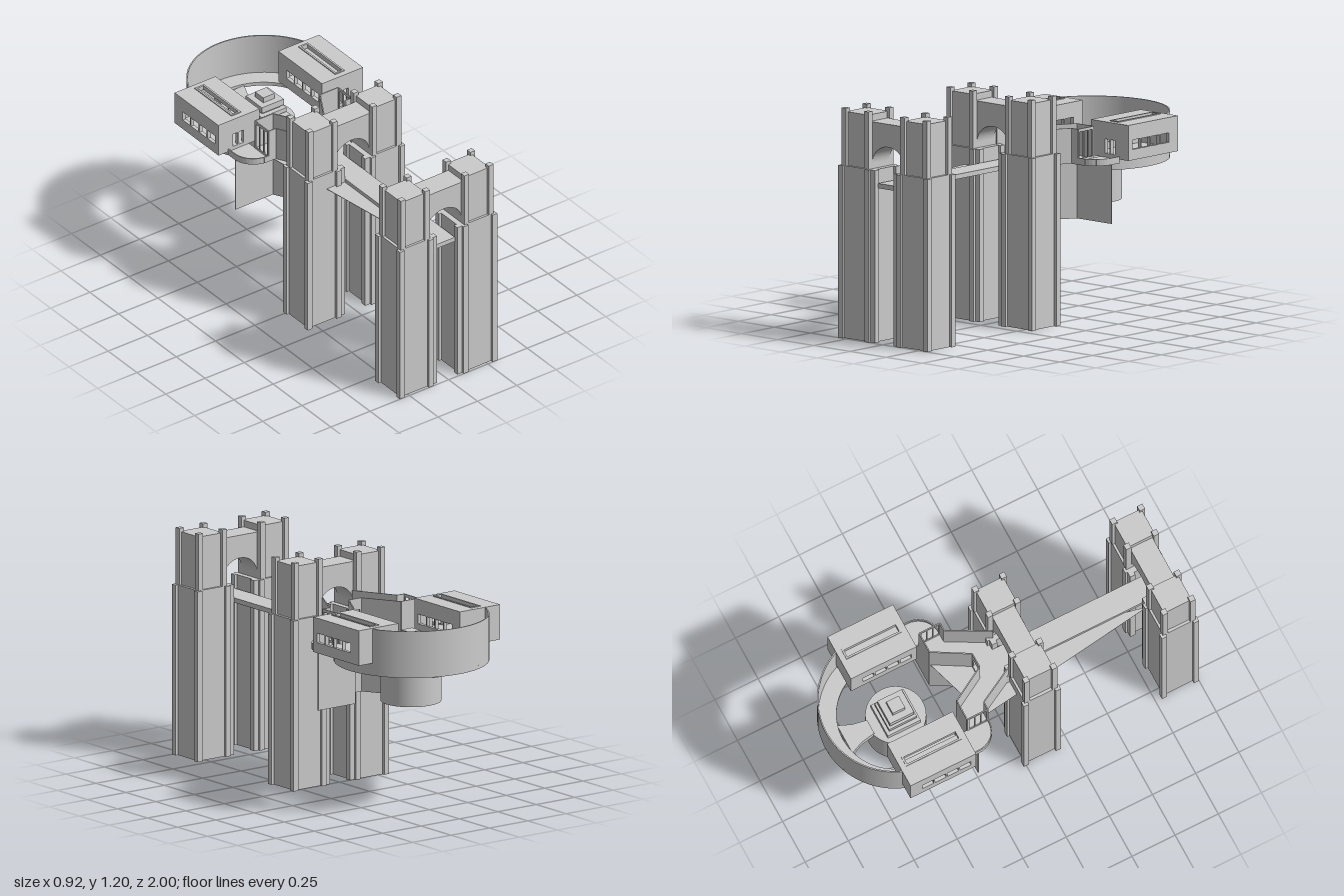
import * as THREE from 'three';

export function createModel() {
  const model = new THREE.Group();
  const mat = new THREE.MeshStandardMaterial({ color: 0xcccccc, side: THREE.DoubleSide });

  const add = (name, geo, parent = model) => {
    const m = new THREE.Mesh(geo, mat);
    m.name = name;
    parent.add(m);
    return m;
  };
  const group = (name) => {
    const g = new THREE.Group();
    g.name = name;
    model.add(g);
    return g;
  };
  // box from opposite corners
  const box = (name, x0, x1, y0, y1, z0, z1, parent) => add(name,
    new THREE.BoxGeometry(Math.abs(x1 - x0), y1 - y0, Math.abs(z1 - z0))
      .translate((x0 + x1) / 2, (y0 + y1) / 2, (z0 + z1) / 2), parent);
  // horizontal slab from a list of [x, z] points
  const slab = (name, pts, y0, y1, parent) => {
    const shape = new THREE.Shape(pts.map(([x, z]) => new THREE.Vector2(x, -z)));
    return add(name, new THREE.ExtrudeGeometry(shape, { depth: y1 - y0, bevelEnabled: false })
      .rotateX(-Math.PI / 2).translate(0, y0, 0), parent);
  };
  const rect = (u0, u1, v0, v1) => [[u0, v0], [u1, v0], [u1, v1], [u0, v1]]
    .map(([u, v]) => new THREE.Vector2(u, v));
  // upright wall between two [x, z] points, holes given as [u0, u1, y0, y1]
  const wall = (name, p, q, y0, y1, holes = [], t = 0.006, parent = model) => {
    const dx = q[0] - p[0], dz = q[1] - p[1];
    const shape = new THREE.Shape(rect(0, Math.hypot(dx, dz), y0, y1));
    holes.forEach((h) => shape.holes.push(new THREE.Path(rect(...h))));
    const geo = new THREE.ExtrudeGeometry(shape, { depth: t, bevelEnabled: false })
      .translate(0, 0, -t / 2).rotateY(Math.atan2(-dz, dx)).translate(p[0], 0, p[1]);
    return add(name, geo, parent);
  };
  const arc = (r, a0, a1, n = 32) => Array.from({ length: n + 1 }, (_, i) => {
    const a = a0 + (a1 - a0) * i / n;
    return [r * Math.sin(a), -0.6 + r * Math.cos(a)];
  });

  // two gates, each a pair of towers joined by an arched wall
  for (const zc of [0.0925, 0.8925]) {
    const gate = group('gate');
    for (const s of [-1, 1]) {
      box('towerShaft', s * 0.08, s * 0.295, 0, 0.9, zc - 0.0925, zc + 0.0925, gate);
      box('towerTop', s * 0.125, s * 0.28, 0.9, 1.18, zc - 0.08, zc + 0.08, gate);
      for (const e of [-1, 1]) {
        for (const x of [0.295, 0.11]) {
          const z = zc + e * 0.0925;
          box('shaftPilaster', s * (x - 0.015), s * (x + 0.015), 0, 0.9, z - 0.015, z + 0.015, gate);
        }
        for (const x of [0.28, 0.125]) {
          const z = zc + e * 0.08;
          box('topPilaster', s * (x - 0.015), s * (x + 0.015), 0.9, 1.2, z - 0.015, z + 0.015, gate);
        }
        const zi = zc + e * 0.08;
        box('innerPilaster', s * 0.065, s * 0.095, 0, 0.9, zi - 0.015, zi + 0.015, gate);
      }
    }
    const arch = new THREE.Shape();
    arch.moveTo(-0.125, 0.83);
    arch.lineTo(-0.125, 1.145);
    arch.lineTo(0.125, 1.145);
    arch.lineTo(0.125, 0.83);
    arch.lineTo(0.11, 0.83);
    arch.lineTo(0.11, 0.93);
    arch.absellipse(0, 0.93, 0.11, 0.095, 0, Math.PI, false);
    arch.lineTo(-0.11, 0.83);
    add('archWall', new THREE.ExtrudeGeometry(arch, { depth: 0.13, bevelEnabled: false, curveSegments: 24 })
      .translate(0, 0, zc - 0.065), gate);
  }

  // bridge deck and the plate below it
  box('bridgeDeck', -0.065, 0.065, 0.805, 0.83, 0, 0.965);
  slab('deckPlate', [[-0.23, -0.2], [0.15, -0.32], [-0.09, 0.82]], 0.806, 0.809);

  // forked corridor: floor, outer walls, inner walls with a doorway
  const right = [[0.1, 0.02], [0.22, -0.2], [0.265, -0.2], [0.265, -0.32], [0.15, -0.32], [0.04, -0.13]];
  const flip = (pts) => pts.map(([x, z]) => [-x, z]);
  slab('forkFloor', [...right, ...flip(right).reverse()], 0.81, 0.83);
  for (const s of [-1, 1]) {
    const p = right.map(([x, z]) => [s * x, z]);
    wall('corridorWall', p[0], p[1], 0.81, 0.995);
    wall('corridorWall', p[1], p[2], 0.81, 0.995);
    wall('corridorEnd', p[2], p[3], 0.81, 0.995,
      [0.01, 0.045, 0.08].map((u) => [u, u + 0.028, 0.84, 0.98]));
    wall('corridorWall', p[3], p[4], 0.81, 0.995);
    wall('corridorWall', p[4], p[5], 0.81, 0.995);
    // folded curtain hanging below the fork
    wall('curtain', [s * 0.39, -0.32], p[4], 0.5, 0.81);
    wall('curtain', p[4], p[5], 0.5, 0.81);

    // rounded balcony with a low parapet
    const edge = [[s * 0.265, -0.2]];
    for (let i = 0; i <= 10; i++) {
      const a = i / 10 * Math.PI / 2;
      edge.push([s * (0.275 + 0.12 * Math.sin(a)), -0.32 + 0.12 * Math.cos(a)]);
    }
    edge.push([s * 0.395, -0.37]);
    slab('balconyFloor', [...edge, [s * 0.265, -0.37]], 0.81, 0.83);
    for (let i = 1; i < edge.length; i++) wall('balconyParapet', edge[i - 1], edge[i], 0.81, 0.845);
  }
  wall('doorWall', [-0.04, -0.13], [0.04, -0.13], 0.81, 0.995, [[0.01, 0.07, 0.83, 0.935]]);
  wall('curtain', [-0.04, -0.13], [0.04, -0.13], 0.5, 0.81);

  // hollow side wings with window bands and a roof slot
  for (const s of [-1, 1]) {
    const wing = group(s > 0 ? 'leftWing' : 'rightWing');
    const panes = [0, 1, 2, 3].map((i) => [0.03 + i * 0.072, 0.094 + i * 0.072, 0.885, 0.935]);
    for (const x of [0.21, 0.45]) wall('windowWall', [s * x, -0.37], [s * x, -0.75], 0.83, 1.015, panes, 0.02, wing);
    wall('frontWall', [s * 0.2, -0.38], [s * 0.46, -0.38], 0.83, 1.015,
      [[0.1, 0.128, 0.835, 0.925], [0.138, 0.168, 0.835, 0.925]], 0.02, wing);
    box('backWall', s * 0.2, s * 0.46, 0.83, 1.015, -0.73, -0.75, wing);
    box('wingFloor', s * 0.2, s * 0.46, 0.83, 0.85, -0.37, -0.75, wing);
    const roof = new THREE.Shape(rect(0.2, 0.46, 0.37, 0.75));
    roof.holes.push(new THREE.Path(rect(0.315, 0.355, 0.41, 0.71)));
    const rim = new THREE.Shape(rect(0.305, 0.365, 0.4, 0.72));
    rim.holes.push(new THREE.Path(rect(0.315, 0.355, 0.41, 0.71)));
    for (const [name, shape, y, d] of [['wingRoof', roof, 0.995, 0.02], ['slotRim', rim, 1.015, 0.005]]) {
      const geo = new THREE.ExtrudeGeometry(shape, { depth: d, bevelEnabled: false }).rotateX(-Math.PI / 2);
      geo.translate(s > 0 ? 0 : -0.66, y, 0);
      add(name, geo, wing);
    }
    box('slotBed', s * 0.315, s * 0.355, 0.985, 0.995, -0.41, -0.71, wing);
    // curved footing beneath the wing
    const a0 = s * 0.958, a1 = s * (Math.PI - 1.19);
    slab('wingFooting', [...arc(0.4, a0, a1, 12), ...arc(0.3, a1, a0, 12)], 0.765, 0.83, wing);
  }

  // round gallery at the back: floor ring, tall outer wall, spoke
  const b0 = Math.PI - 1.19, b1 = Math.PI + 1.19;
  slab('galleryFloor', [...arc(0.4, b0, b1), ...arc(0.3, b1, b0)], 0.765, 0.785);
  add('galleryWall', new THREE.CylinderGeometry(0.4, 0.4, 0.245, 48, 1, true, b0, b1 - b0)
    .translate(0, 0.8875, -0.6));
  add('galleryWallInside', new THREE.CylinderGeometry(0.393, 0.393, 0.225, 48, 1, true, b0, b1 - b0)
    .translate(0, 0.8975, -0.6));
  add('galleryWallCap', new THREE.RingGeometry(0.393, 0.4, 48, 1, Math.PI / 2 - 1.19, 2.38)
    .rotateX(-Math.PI / 2).translate(0, 1.01, -0.6));
  slab('spoke', [[0.085, -0.89], [0.055, -0.82], [0.04, -0.74], [-0.04, -0.74], [-0.055, -0.82], [-0.085, -0.89]],
    0.735, 0.775);

  // hanging drum, open below, with a central rod
  const drum = [[0, 0.765], [0.157, 0.765], [0.157, 0.55], [0.15, 0.55], [0.15, 0.75], [0, 0.75]];
  for (let i = 1; i < drum.length; i++) {
    add('drum', new THREE.LatheGeometry([drum[i - 1], drum[i]].map((p) => new THREE.Vector2(...p)), 40)
      .translate(0, 0, -0.595));
  }
  add('drumRod', new THREE.CylinderGeometry(0.028, 0.028, 0.235, 20).translate(0, 0.6425, -0.595));

  // stepped lantern on the drum
  const steps = [[0.095, 0.765, 0.8], [0.08, 0.815, 0.84], [0.07, 0.855, 0.89], [0.036, 0.89, 0.92]];
  for (const [r, y0, y1] of steps) box('lanternStep', -r, r, y0, y1, -0.595 - r, -0.595 + r);
  box('lanternCore', -0.055, 0.055, 0.765, 0.86, -0.65, -0.54);

  return model;
}
